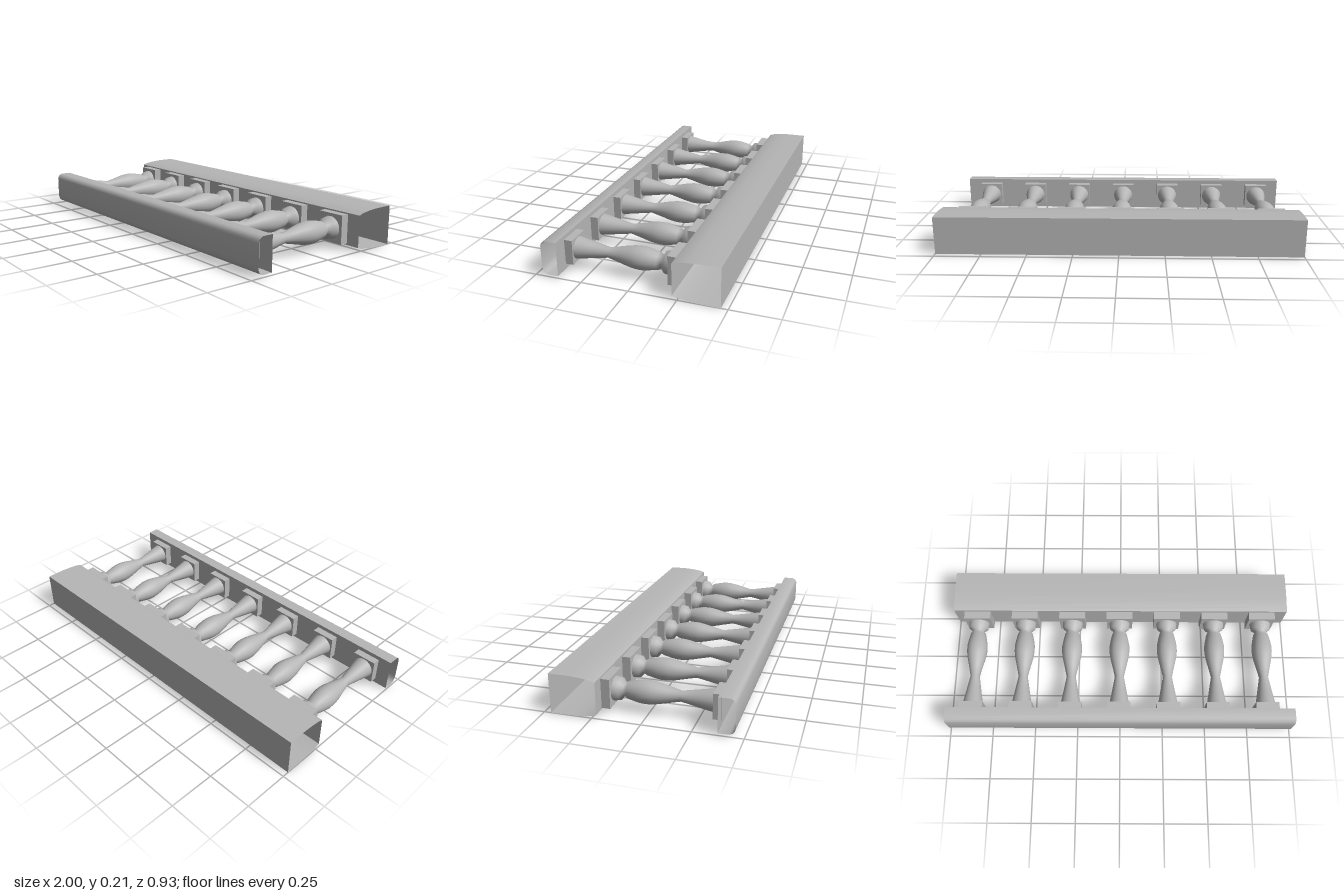
import * as THREE from 'three';
import { toCreasedNormals } from 'three/addons/utils/BufferGeometryUtils.js';

const CENTRE_Y = 0.106;

// Open-ended shell: a closed [z, y] outline swept along x
function railGeometry(outline) {
  const pos = [];
  outline.forEach(([z0, y0], i) => {
    const [z1, y1] = outline[(i + 1) % outline.length];
    pos.push(-1, y0, z0, 1, y0, z0, 1, y1, z1);
    pos.push(-1, y0, z0, 1, y1, z1, -1, y1, z1);
  });
  const geo = new THREE.BufferGeometry();
  geo.setAttribute('position', new THREE.Float32BufferAttribute(pos, 3));
  geo.computeVertexNormals();
  return toCreasedNormals(geo, 0.7);
}

export function createModel() {
  const model = new THREE.Group();
  model.name = 'balustrade';

  const stone = new THREE.MeshStandardMaterial({ color: 0xb6b6b6, side: THREE.DoubleSide });
  stone.name = 'grey stone';

  const add = (parent, name, geo, x = 0, y = 0, z = 0) => {
    const mesh = new THREE.Mesh(geo, stone);
    mesh.name = name;
    mesh.position.set(x, y, z);
    parent.add(mesh);
  };

  // Narrow rail with a rounded outer face
  add(model, 'narrowRail', railGeometry([
    [0.375, 0.012], [0.43, 0.012], [0.445, 0.018], [0.455, 0.03], [0.46, 0.05],
    [0.46, 0.165], [0.456, 0.178], [0.448, 0.188], [0.435, 0.195], [0.375, 0.195],
  ]));

  // Wide rail, slightly tapered towards the balusters
  add(model, 'wideRail', railGeometry([
    [-0.225, 0.02], [-0.225, 0.19], [-0.25, 0.199], [-0.3, 0.206], [-0.36, 0.21],
    [-0.465, 0.21], [-0.465, 0], [-0.36, 0.001], [-0.3, 0.005], [-0.25, 0.012],
  ]));

  // Turned baluster profile: [z, radius]
  const profile = [
    [-0.18, 0.062], [-0.143, 0.057], [-0.125, 0.034], [-0.105, 0.045], [-0.06, 0.055],
    [-0.03, 0.06], [0, 0.06], [0.02, 0.058], [0.05, 0.053], [0.1, 0.041],
    [0.162, 0.027], [0.25, 0.043], [0.335, 0.059],
  ].map(([z, r]) => new THREE.Vector2(r, z));
  const shaft = new THREE.LatheGeometry(profile, 20).rotateX(Math.PI / 2);
  const wideBlock = new THREE.BoxGeometry(0.155, 0.155, 0.045);
  const narrowBlock = new THREE.BoxGeometry(0.133, 0.133, 0.044);

  // Seven balusters with square end blocks
  for (let i = -3; i <= 3; i++) {
    const baluster = new THREE.Group();
    baluster.name = 'baluster';
    baluster.position.set(i * 0.285 - 0.005, CENTRE_Y, 0);
    add(baluster, 'turnedShaft', shaft);
    add(baluster, 'wideEndBlock', wideBlock, 0, 0, -0.2);
    add(baluster, 'narrowEndBlock', narrowBlock, 0, 0, 0.355);
    model.add(baluster);
  }
  return model;
}
